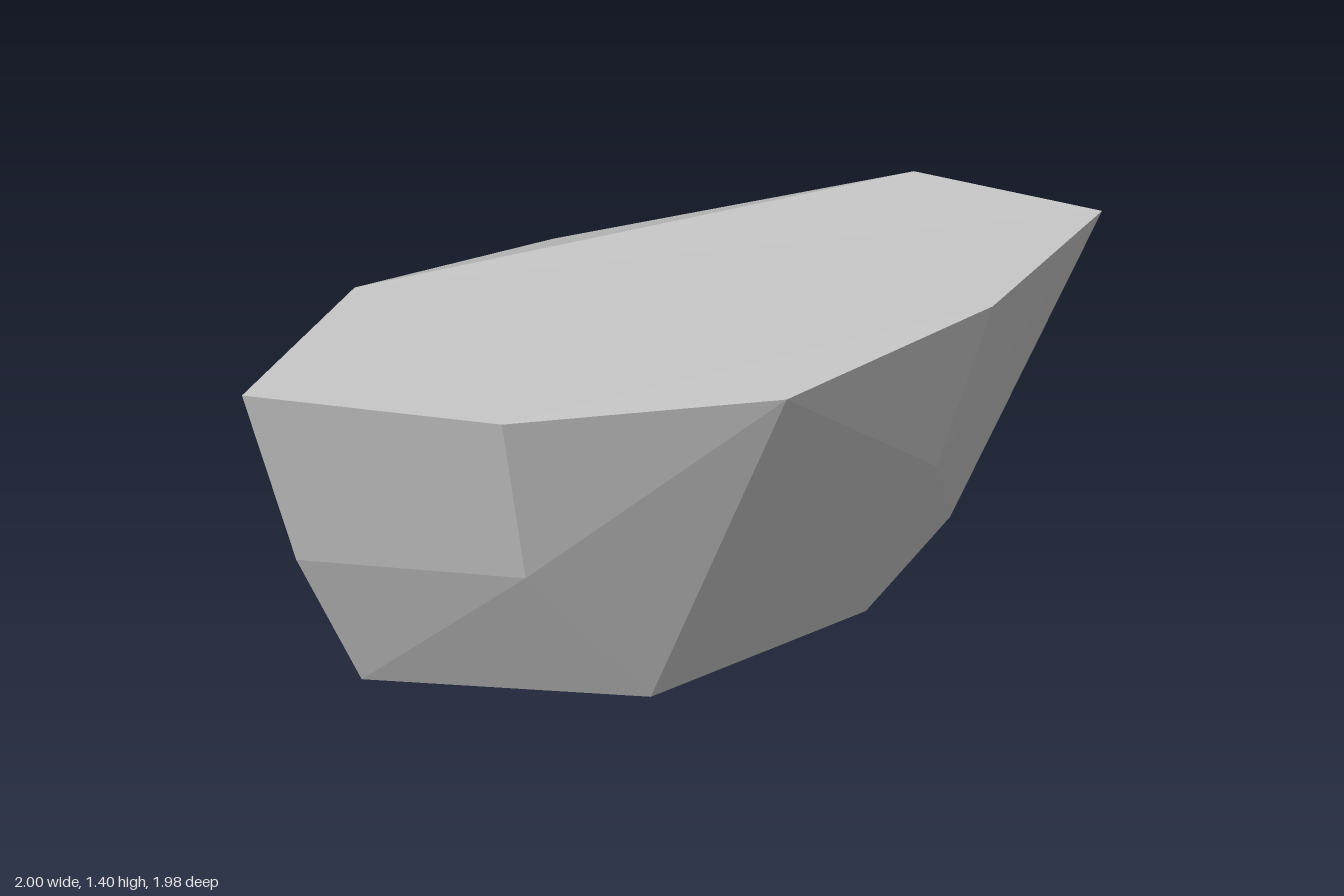
import * as THREE from 'three';

// Corner points of the rock: rear corner K/J, cut corner G/H, rim A-E, waist N/M/T, foot L-R
const corners = {
  K: [-1, 0, -0.99], J: [-1, 0.85, -0.99],
  G: [-1, 1.4, 0.36], H: [0.36, 1.4, -0.99],
  A: [-1, 1.4, 0.985], B: [-0.26, 1.4, 0.84], C: [0.42, 1.39, 0.42],
  D: [0.83, 1.4, -0.26], E: [1, 1.385, -0.985],
  N: [-1, 0.71, 0.86], M: [-0.28, 0.76, 0.73], T: [0.7, 0.76, -0.27],
  L: [-1, 0, 0.61], P: [-0.06, 0, 0.325], Q: [0.47, 0, -0.36], R: [0.595, 0, -0.99],
};

// Each facet is a loop of corners, counter-clockwise from outside
const facets = [
  'GABDEH', 'BCD', // top
  'JGH', // sloping cut
  'KLNAGJ', 'RKJHE', 'KRQPL', // flat side, back, underside
  'ANB', 'NMB', 'NLM', 'LPM', 'MPC', 'MCB', // front facets
  'CPQT', 'TQR', 'TRE', 'TED', 'TDC', // right-hand facets
];

// Fan-triangulates the loops with separate corners, giving hard facets
function facetGeometry(loops) {
  const positions = [];
  for (const loop of loops) {
    for (let i = 1; i < loop.length - 1; i++) {
      for (const key of [loop[0], loop[i], loop[i + 1]]) positions.push(...corners[key]);
    }
  }
  const geometry = new THREE.BufferGeometry();
  geometry.setAttribute('position', new THREE.Float32BufferAttribute(positions, 3));
  geometry.computeVertexNormals();
  return geometry;
}

export function createModel() {
  const stone = new THREE.MeshStandardMaterial({ color: 0xc8c8c8 });
  stone.name = 'light stone grey';
  stone.flatShading = true;

  const rock = new THREE.Mesh(facetGeometry(facets), stone);
  rock.name = 'rock';

  const model = new THREE.Group();
  model.name = 'cornerRock';
  model.add(rock);
  return model;
}
